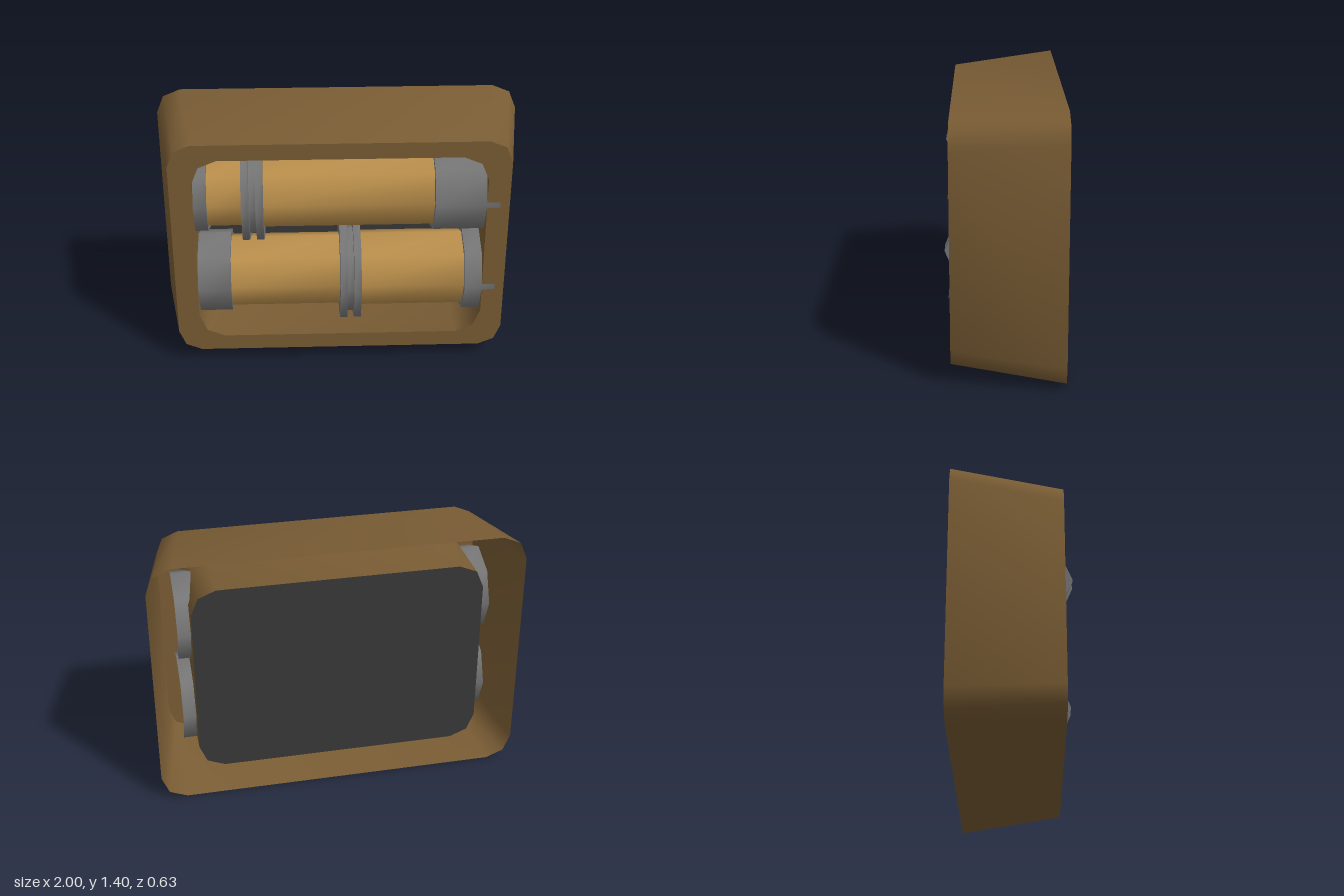
import * as THREE from 'three';
import { toCreasedNormals } from 'three/addons/utils/BufferGeometryUtils.js';

const MID_Y = 0.7025, BACK = -0.315, FRONT = 0.265, FLOOR = -0.285;
const CREASE = 1.0; // keeps right angles sharp, 45 degree turns smooth

const paint = (color, side = THREE.FrontSide) => new THREE.MeshStandardMaterial({ color, side });

// Rectangle outline whose corners are rounded with two segments, counterclockwise
function outline(hx, hy, r) {
  const points = [];
  const corners = [[1, 1], [-1, 1], [-1, -1], [1, -1]];
  corners.forEach(([sx, sy], q) => {
    for (let i = 0; i <= 2; i++) {
      const a = (q + i / 2) * Math.PI / 2;
      points.push(new THREE.Vector2(sx * (hx - r) + r * Math.cos(a), sy * (hy - r) + r * Math.sin(a)));
    }
  });
  return points;
}

// Wall running from a back outline to a front outline
function wall(back, zBack, front, zFront) {
  const positions = [], n = back.length;
  for (let i = 0; i < n; i++) {
    const j = (i + 1) % n;
    const a = [back[i].x, back[i].y, zBack], b = [back[j].x, back[j].y, zBack];
    const c = [front[j].x, front[j].y, zFront], d = [front[i].x, front[i].y, zFront];
    positions.push(...a, ...b, ...c, ...a, ...c, ...d);
  }
  const geometry = new THREE.BufferGeometry();
  geometry.setAttribute('position', new THREE.Float32BufferAttribute(positions, 3));
  return toCreasedNormals(geometry, CREASE);
}

// Eight-sided turned piece lying along x; profile is [x, radius] from left to right
function turned(name, profile, material) {
  const points = profile.map(([x, r]) => new THREE.Vector2(r, x));
  const mesh = new THREE.Mesh(toCreasedNormals(new THREE.LatheGeometry(points, 8), CREASE), material);
  mesh.rotation.z = -Math.PI / 2;
  mesh.name = name;
  return mesh;
}

export function createModel() {
  const model = new THREE.Group();
  const brown = paint(0x795c34, THREE.DoubleSide);
  const dark = paint(0x383838, THREE.DoubleSide);
  const amber = paint(0xb98e4b);
  const grey = paint(0x767676);

  // Tapered housing, open at the back, with a straight-sided recess
  const housing = new THREE.Group();
  housing.name = 'housing';
  housing.position.y = MID_Y;
  model.add(housing);
  const rim = outline(1, 0.7025, 0.135);
  const face = outline(0.9, 0.632, 0.122);
  const opening = outline(0.78, 0.543, 0.135);
  const add = (name, geometry, material, z = 0) => {
    const mesh = new THREE.Mesh(geometry, material);
    mesh.name = name;
    mesh.position.z = z;
    housing.add(mesh);
  };
  add('outerWall', wall(rim, BACK, face, FRONT), brown);
  add('recessWall', wall(opening, FRONT, opening, FLOOR), brown);
  const frameShape = new THREE.Shape(face);
  frameShape.holes.push(new THREE.Path(opening));
  add('frontFrame', new THREE.ShapeGeometry(frameShape), brown, FRONT);
  add('recessFloor', new THREE.ShapeGeometry(new THREE.Shape(opening)), dark, FLOOR);

  // Two tubes: height, end of left cap, start of collar, start of right cap
  const tubes = [
    ['upperTube', 0.96, -0.71, -0.525, 0.505],
    ['lowerTube', 0.45, -0.6, 0, 0.685],
  ];
  for (const [name, y, leftCap, collar, rightCap] of tubes) {
    const tube = new THREE.Group();
    tube.name = name;
    tube.position.set(0, y, 0.025);
    const mid = collar + 0.06;
    tube.add(
      turned('leftCap', [[-0.85, 0.235], [leftCap, 0.235], [leftCap, 0.2]], grey),
      turned('leftBody', [[leftCap, 0.207], [mid, 0.207]], amber),
      turned('collar', [
        [collar, 0.2], [collar, 0.29], [collar + 0.04, 0.29], [collar + 0.04, 0.25],
        [collar + 0.076, 0.25], [collar + 0.076, 0.29], [collar + 0.116, 0.29], [collar + 0.116, 0.2],
      ], grey),
      turned('rightBody', [[mid, 0.217], [rightCap, 0.217]], amber),
      turned('rightCap', [[rightCap, 0.2], [rightCap, 0.247], [0.85, 0.247]], grey),
    );
    model.add(tube);
  }
  return model;
}
